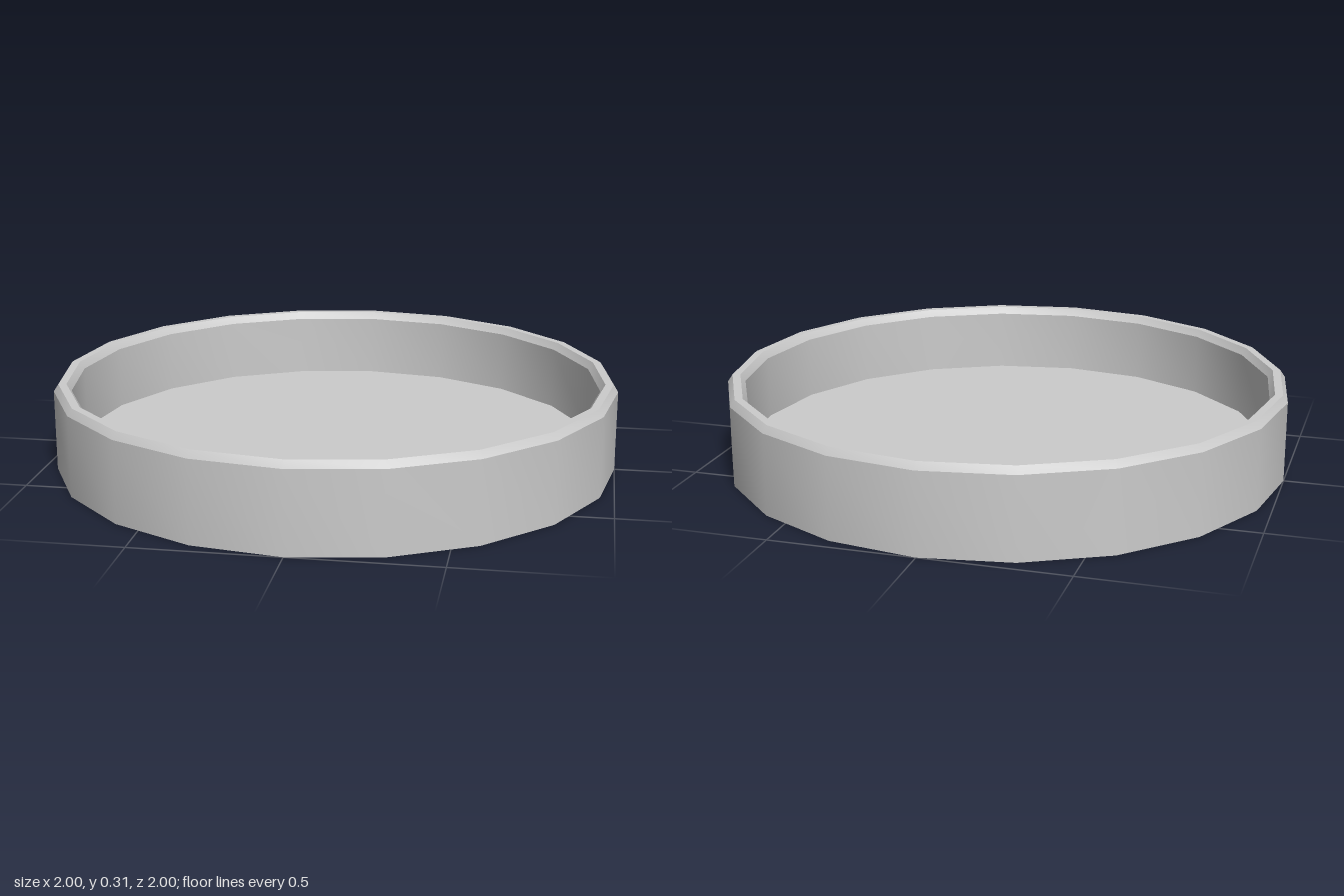
import * as THREE from 'three';
import { toCreasedNormals } from 'three/addons/utils/BufferGeometryUtils.js';

const SIDES = 20;

export function createModel() {
  const group = new THREE.Group();
  group.name = 'roundTray';

  // Cross-section: underside, outer wall, bevelled rim, inner wall, floor
  const profile = [
    [0, 0], [1, 0],
    [1, 0.285], [0.983, 0.31],
    [0.955, 0.31], [0.938, 0.285],
    [0.938, 0.06], [0, 0.06],
  ].map(([r, y]) => new THREE.Vector2(r, y));

  // Smooth around the walls, sharp at the rim and floor edges
  const geometry = toCreasedNormals(new THREE.LatheGeometry(profile, SIDES), 0.5);
  const tray = new THREE.Mesh(geometry, new THREE.MeshStandardMaterial({ color: 0xcccccc }));
  tray.name = 'tray';
  group.add(tray);

  return group;
}
